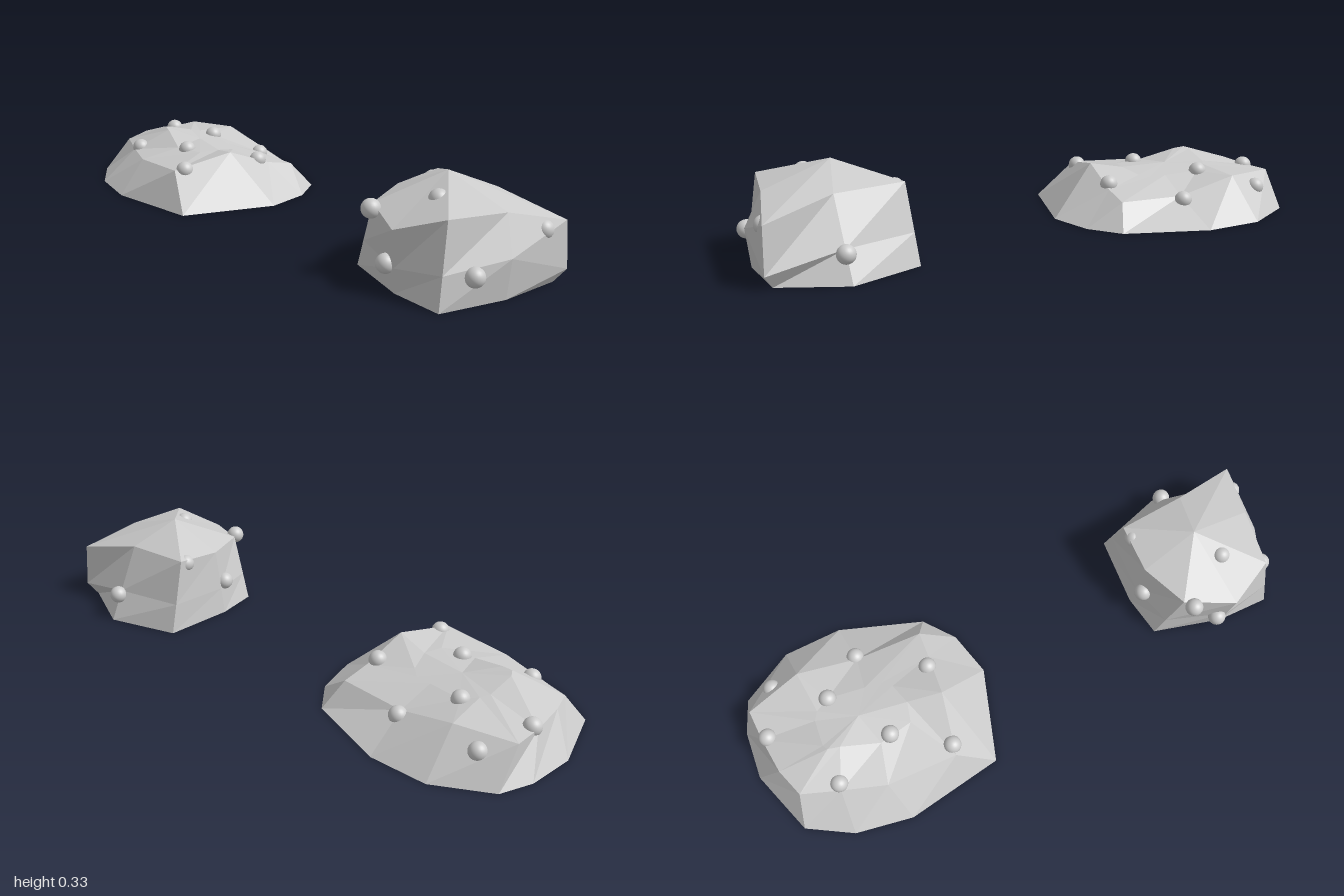
import * as THREE from 'three';

const rockMat = new THREE.MeshStandardMaterial({ color: 0xcccccc, flatShading: true });
const studMat = new THREE.MeshStandardMaterial({ color: 0xcccccc });

// Faceted boulder: rings of [x, y, z] from the ground up, closed by a summit and a flat base
function rock(name, rings, summit) {
  const pos = [];
  const tri = (...pts) => pts.forEach((p) => pos.push(...p));
  const n = rings[0].length;
  const layers = [...rings, Array(n).fill(summit)];
  const centre = [0, 1, 2].map((k) => rings[0].reduce((s, p) => s + p[k] / n, 0));
  for (let i = 0; i < n; i++) {
    const j = (i + 1) % n;
    tri(centre, rings[0][i], rings[0][j]);
    for (let k = 0; k + 1 < layers.length; k++) {
      const lo = layers[k], hi = layers[k + 1];
      tri(lo[i], hi[i], lo[j]);
      if (k + 2 < layers.length) tri(lo[j], hi[i], hi[j]);
    }
  }
  const geo = new THREE.BufferGeometry();
  geo.setAttribute('position', new THREE.Float32BufferAttribute(pos, 3));
  geo.computeVertexNormals();
  const mesh = new THREE.Mesh(geo, rockMat);
  mesh.name = name;
  return mesh;
}

// Small round studs half sunk into the rock
function studs(name, points) {
  const group = new THREE.Group();
  group.name = name;
  const geo = new THREE.SphereGeometry(0.031, 24, 16);
  points.forEach((p, i) => {
    const m = new THREE.Mesh(geo, studMat);
    m.name = `stud${i + 1}`;
    m.position.set(...p);
    group.add(m);
  });
  return group;
}

export function createModel() {
  const model = new THREE.Group();
  model.name = 'rocks';

  // Wide, low rock
  const wideBase = [
    [-1, 0, 0], [-0.98, 0, -0.17], [-0.93, 0, -0.28], [-0.74, 0, -0.38],
    [-0.53, 0, -0.38], [-0.24, 0, -0.27], [-0.16, 0, -0.16], [-0.125, 0, 0],
    [-0.235, 0, 0.32], [-0.58, 0, 0.37], [-0.78, 0, 0.33], [-0.93, 0, 0.235],
  ];
  const wideRim = [
    [-0.92, 0.13, 0.05], [-0.93, 0.125, -0.08], [-0.93, 0.13, -0.19], [-0.73, 0.14, -0.24],
    [-0.52, 0.085, -0.215], [-0.28, 0.09, -0.2], [-0.29, 0.11, -0.1], [-0.31, 0.172, 0.06],
    [-0.36, 0.128, 0.27], [-0.61, 0.113, 0.255], [-0.76, 0.112, 0.2], [-0.89, 0.118, 0.15],
  ];
  const wideCrown = [
    [-0.75, 0.18, 0.05], [-0.74, 0.155, -0.05], [-0.72, 0.15, -0.08], [-0.67, 0.138, -0.11],
    [-0.54, 0.132, -0.09], [-0.48, 0.13, -0.08], [-0.45, 0.135, -0.05], [-0.43, 0.15, 0.03],
    [-0.45, 0.147, 0.1], [-0.57, 0.145, 0.12], [-0.7, 0.182, 0.08], [-0.74, 0.187, 0.07],
  ];
  model.add(rock('wideRock', [wideBase, wideRim, wideCrown], [-0.6, 0.155, 0]));
  model.add(studs('wideRockStuds', [
    [-0.83, 0.09, -0.25], [-0.52, 0.075, -0.23], [-0.91, 0.126, -0.08], [-0.67, 0.138, -0.11],
    [-0.31, 0.122, -0.065], [-0.53, 0.144, 0.105], [-0.755, 0.117, 0.175], [-0.355, 0.125, 0.23],
  ]));

  // Tall, narrow rock
  const tallBase = [
    [0.48, 0, 0], [0.505, 0, -0.245], [0.755, 0, -0.32], [0.97, 0, -0.215],
    [0.975, 0, 0], [0.925, 0, 0.225], [0.74, 0, 0.22], [0.5, 0, 0.15],
  ];
  const tallRim = [
    [0.515, 0.24, 0], [0.52, 0.26, -0.17], [0.76, 0.255, -0.185], [0.995, 0.2, -0.23],
    [0.94, 0.25, -0.03], [0.9, 0.26, 0.175], [0.75, 0.205, 0.245], [0.58, 0.228, 0.165],
  ];
  // Waist keeps the back corner bulging outwards
  const tallWaist = tallBase.map((p, i) => (i === 3
    ? [1, 0.045, -0.24]
    : p.map((v, k) => v + (tallRim[i][k] - v) * 0.4)));
  tallWaist[4] = [0.99, 0.13, 0];
  model.add(rock('tallRock', [tallBase, tallWaist, tallRim], [0.71, 0.327, -0.02]));
  model.add(studs('tallRockStuds', [
    [0.77, 0.27, 0.08], [0.705, 0.085, 0.225], [0.605, 0.222, 0.195], [0.505, 0.115, 0.03],
    [0.955, 0.092, 0.115], [0.97, 0.18, -0.155], [0.54, 0.235, -0.13], [0.76, 0.09, -0.28],
  ]));
  return model;
}
